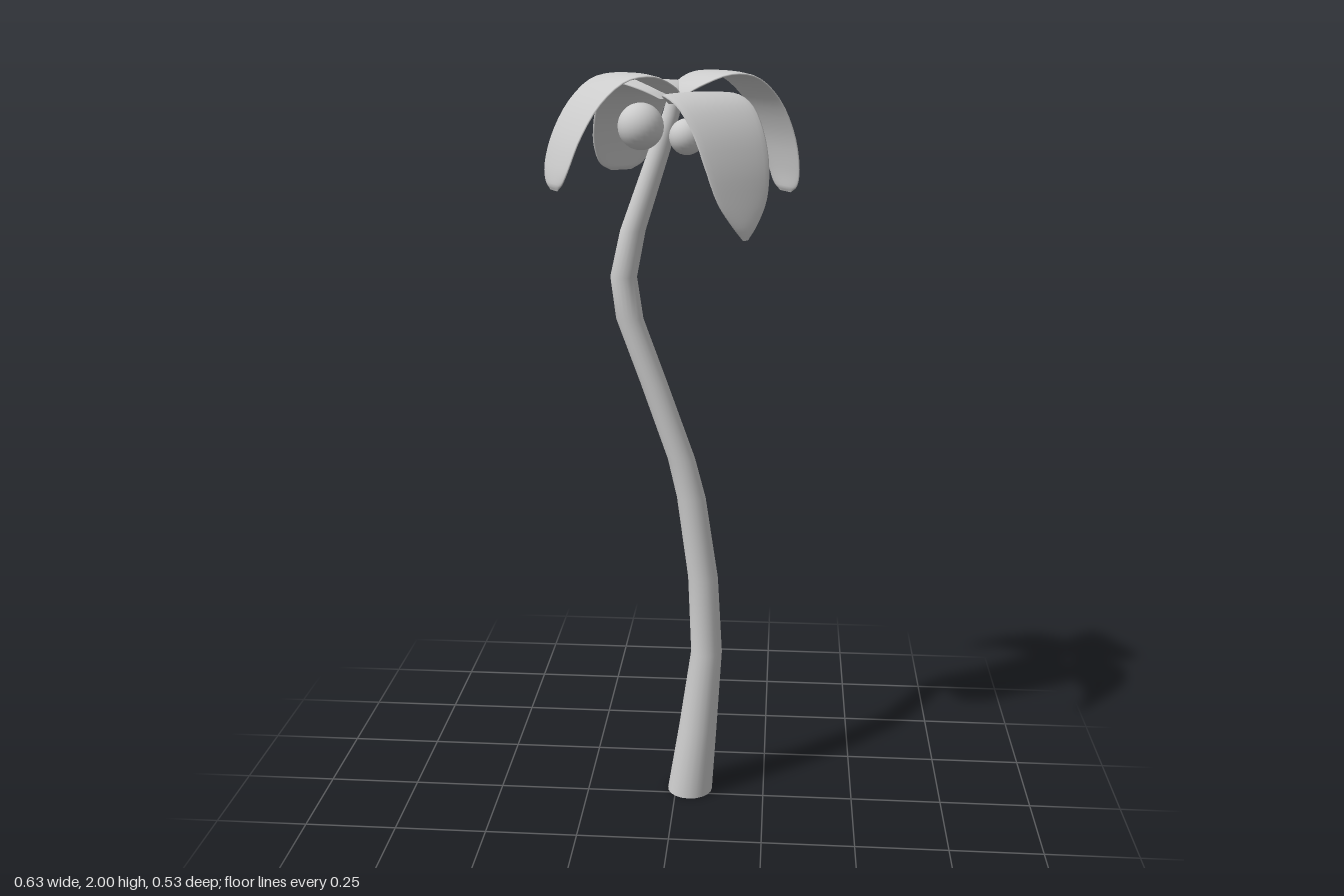
import * as THREE from 'three';

const material = new THREE.MeshStandardMaterial({ color: 0xcccccc });

// Skin a list of closed rings (equal point counts) into one smooth surface.
function loft(rings) {
  const n = rings[0].length, position = [], index = [];
  rings.forEach((ring, i) => ring.forEach((p, j) => {
    position.push(p.x, p.y, p.z);
    if (i === rings.length - 1) return;
    const a = i * n + j, b = i * n + (j + 1) % n;
    index.push(a, a + n, b, b, a + n, b + n);
  }));
  const geo = new THREE.BufferGeometry();
  geo.setAttribute('position', new THREE.Float32BufferAttribute(position, 3));
  geo.setIndex(index);
  geo.computeVertexNormals();
  return geo;
}

// Ellipse around a centre, spanned by two half-axis vectors.
function ellipse(centre, e1, e2, sides) {
  return Array.from({ length: sides }, (_, j) => {
    const a = (j / sides) * Math.PI * 2;
    return centre.clone().addScaledVector(e1, Math.cos(a)).addScaledVector(e2, Math.sin(a));
  });
}

function add(group, name, geometry, x = 0, y = 0, z = 0) {
  const mesh = new THREE.Mesh(geometry, material);
  mesh.name = name;
  mesh.position.set(x, y, z);
  group.add(mesh);
  return mesh;
}

// A frond arches along local +x; each profile point is [reach, height, half width].
function frondGeometry(profile) {
  const curve = new THREE.CatmullRomCurve3(profile.map((p) => new THREE.Vector3(...p)), false, 'centripetal');
  const steps = 28, rings = [];
  for (let i = 0; i <= steps; i++) {
    const t = i / steps;
    const p = curve.getPoint(t), d = curve.getTangent(t);
    const normal = new THREE.Vector3(-d.y, d.x, 0).normalize();
    const thick = 0.0005 + 0.006 * Math.min(1, Math.sin(Math.PI * t) * 4);
    rings.push(ellipse(new THREE.Vector3(p.x, p.y, 0),
      new THREE.Vector3(0, 0, p.z), normal.multiplyScalar(thick), 20));
  }
  return loft(rings);
}

export function createModel() {
  const model = new THREE.Group();
  model.name = 'palmTree';

  // Bent trunk: [height, centre x, radius]
  const trunkZ = -0.03;
  const trunk = [
    [0, 0.04, 0.063], [0.2, 0.062, 0.053], [0.43, 0.085, 0.043], [0.65, 0.074, 0.041],
    [0.88, 0.041, 0.039], [0.99, 0.014, 0.037], [1.2, -0.06, 0.036], [1.37, -0.122, 0.036],
    [1.48, -0.137, 0.035], [1.6, -0.112, 0.033], [1.8, -0.044, 0.028], [1.89, -0.014, 0.022],
    [1.945, 0.0, 0.018],
  ];
  add(model, 'trunk', loft(trunk.map(([y, x, r]) => ellipse(new THREE.Vector3(x, y, trunkZ),
    new THREE.Vector3(r, 0, 0), new THREE.Vector3(0, 0, r), 20))));
  add(model, 'trunkBase', new THREE.CircleGeometry(0.063, 20), 0.04, 0, trunkZ).rotation.x = Math.PI / 2;
  add(model, 'trunkTop', new THREE.CircleGeometry(0.018, 20), 0, 1.945, trunkZ).rotation.x = -Math.PI / 2;

  // Coconuts
  add(model, 'largeCoconut', new THREE.SphereGeometry(0.058, 24, 16), -0.085, 1.865, 0.02);
  add(model, 'smallCoconut', new THREE.SphereGeometry(0.045, 24, 16), 0.03, 1.84, 0.012);

  // Four drooping fronds: root position, heading in x and z, arch profile
  const fronds = [
    { name: 'backLeftFrond', root: [0, -0.04], heading: [0.87, -0.47],
      profile: [[0, 1.935, 0.035], [0.035, 1.965, 0.085], [0.1, 1.99, 0.112], [0.17, 1.982, 0.114],
        [0.235, 1.93, 0.108], [0.285, 1.84, 0.1], [0.308, 1.75, 0.088], [0.314, 1.705, 0.066], [0.315, 1.685, 0.03]] },
    { name: 'frontRightFrond', root: [0, 0.04], heading: [-0.87, 0.47],
      profile: [[-0.01, 1.935, 0.03], [0.035, 1.965, 0.085], [0.1, 1.99, 0.112], [0.17, 1.982, 0.114],
        [0.235, 1.93, 0.108], [0.285, 1.85, 0.1], [0.31, 1.78, 0.085], [0.317, 1.745, 0.06], [0.318, 1.725, 0.025]] },
    { name: 'backRightFrond', root: [-0.02, -0.005], heading: [-0.55, -0.83],
      profile: [[0, 1.93, 0.02], [0.04, 1.955, 0.065], [0.1, 1.968, 0.1], [0.16, 1.945, 0.105],
        [0.21, 1.885, 0.1], [0.24, 1.81, 0.09], [0.253, 1.755, 0.065], [0.256, 1.735, 0.03]] },
    { name: 'frontLeftFrond', root: [0.005, 0.015], heading: [0.67, 0.74],
      profile: [[0, 1.92, 0.025], [0.04, 1.938, 0.075], [0.09, 1.945, 0.112], [0.15, 1.922, 0.116],
        [0.2, 1.865, 0.11], [0.235, 1.785, 0.1], [0.255, 1.705, 0.078], [0.265, 1.65, 0.042], [0.268, 1.612, 0.008]] },
  ];
  for (const { name, root, heading, profile } of fronds) {
    const frond = add(model, name, frondGeometry(profile), root[0], 0, root[1]);
    frond.rotation.y = Math.atan2(-heading[1], heading[0]);
  }
  return model;
}
